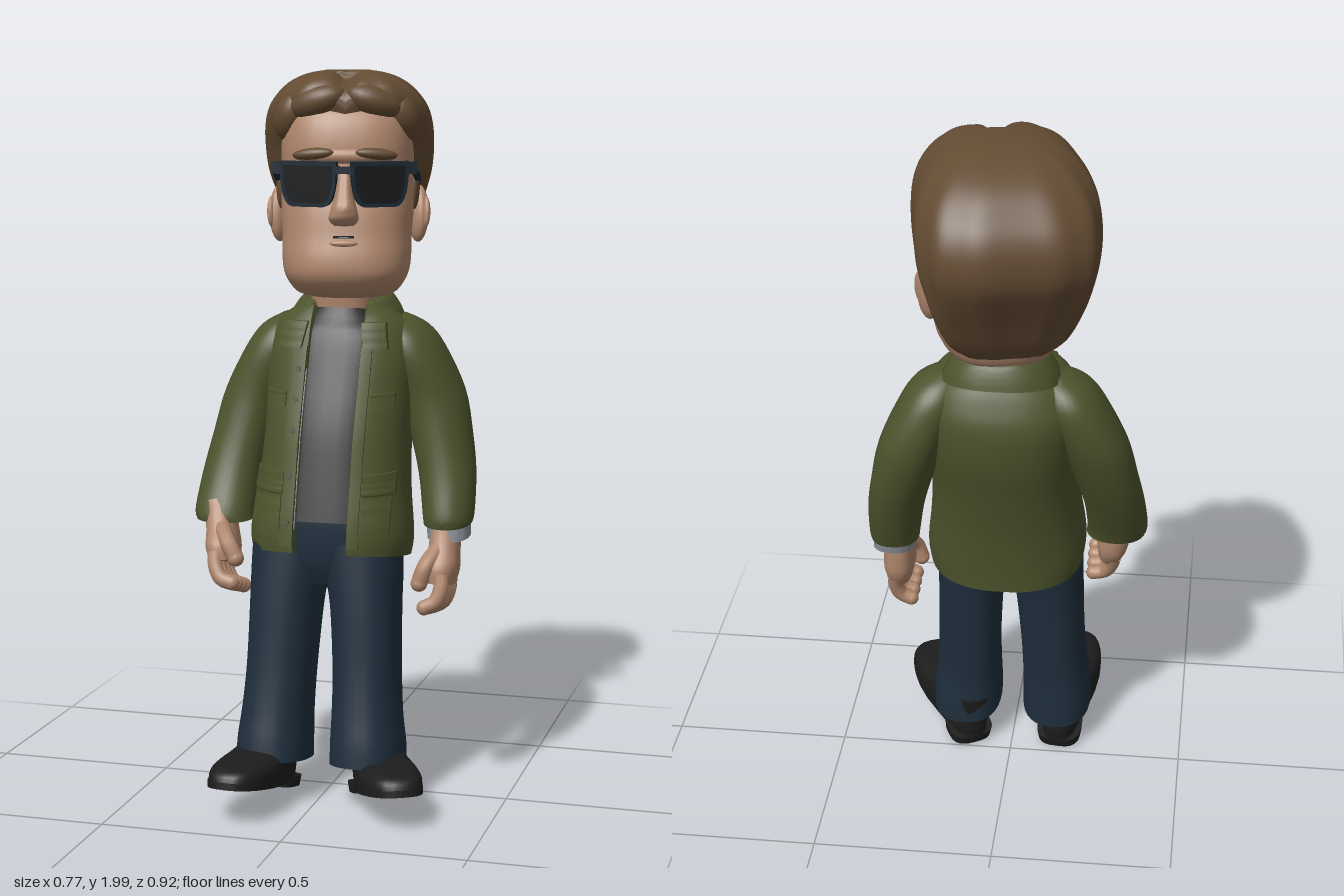
import * as THREE from 'three';
import { toCreasedNormals } from 'three/addons/utils/BufferGeometryUtils.js';

const colours = {
  skin: 0xb0876d, hair: 0x644c33, jacket: 0x4d542d, jeans: 0x1f2f3d, shirt: 0x232324,
  leather: 0x1d1d1e, frame: 0x1a2733, lens: 0x141618, cuff: 0x8a8f96, trim: 0x383f21,
};
const mats = {};

function add(parent, name, geo, mat, pos = [0, 0, 0], rot = [0, 0, 0]) {
  const m = new THREE.Mesh(geo, mats[mat]);
  m.name = name;
  m.position.set(...pos);
  m.rotation.set(...rot);
  parent.add(m);
  return m;
}

// Catmull-Rom through rows of [y, cx, cz, rx, rz]
function sample(rows, t) {
  const f = t * (rows.length - 1), i = Math.min(Math.floor(f), rows.length - 2), u = f - i;
  const at = k => rows[Math.max(0, Math.min(rows.length - 1, k))];
  return rows[0].map((_, k) => {
    const [a, b, c, d] = [at(i - 1)[k], at(i)[k], at(i + 1)[k], at(i + 2)[k]];
    return b + 0.5 * u * (c - a + u * (2 * a - 5 * b + 4 * c - d + u * (3 * (b - c) + d - a)));
  });
}

// Lofts superellipse sections upward; "open" = [xa, xb] leaves a front gap and makes a shell
function loft(rows, { n = 2.4, tilt = 0, seg = 36, steps = 4, open, thick = 0.016, tweak } = {}) {
  const R = (rows.length - 1) * steps, N = open ? seg * 2 : seg, pos = [], idx = [];
  const pw = v => Math.sign(v) * Math.abs(v) ** (2 / n);
  for (let j = 0; j <= R; j++) {
    const [y, cx, cz, rx, rz] = sample(rows, j / R);
    const edge = d => Math.asin(Math.min(1, Math.abs(d) / rx) ** (n / 2));
    const a0 = open ? edge(open[1] - cx) : 0, a1 = open ? Math.PI * 2 - edge(cx - open[0]) : 0;
    for (let i = 0; i < N; i++) {
      const inner = open && i >= seg, k = inner ? N - 1 - i : i, off = inner ? thick : 0;
      const a = open ? a0 + (a1 - a0) * k / (seg - 1) : Math.PI * 2 * i / N;
      const dz = (rz - off) * pw(Math.cos(a));
      const p = new THREE.Vector3(cx + (rx - off) * pw(Math.sin(a)), y + tilt * dz, cz + dz);
      if (tweak) tweak(p, a);
      pos.push(p.x, p.y, p.z);
    }
  }
  for (let j = 0; j < R; j++) for (let i = 0; i < N; i++) {
    const a = j * N + i, b = j * N + (i + 1) % N;
    idx.push(a, b, b + N, a, b + N, a + N);
  }
  for (let i = 0; i < N / 2 - 1; i++) {
    const q = [i, i + 1, N - 2 - i, N - 1 - i], t = R * N;
    idx.push(q[0], q[2], q[1], q[0], q[3], q[2]);
    idx.push(t + q[0], t + q[1], t + q[2], t + q[0], t + q[2], t + q[3]);
  }
  const g = new THREE.BufferGeometry();
  g.setAttribute('position', new THREE.Float32BufferAttribute(pos, 3));
  g.setIndex(idx);
  return toCreasedNormals(g, 1.0);
}

const ball = (rx, ry, rz) => new THREE.SphereGeometry(1, 24, 16).scale(rx, ry, rz);
const LEAN = 0.15;
const torso = [[0.69, .01, .035, .215, .19], [0.75, .01, .03, .222, .192], [0.87, .01, .005, .208, .188],
  [1.0, .01, -.028, .2, .187], [1.13, .01, -.07, .205, .182], [1.24, .01, -.097, .208, .167],
  [1.31, .01, -.102, .185, .14], [1.35, .01, -.103, .135, .118]];

// Front depth of the jacket at (x, y)
function chest(x, y) {
  let s = torso[0], ys = y - 0.025;
  for (let t = 0; t <= 1; t += 0.01) { const c = sample(torso, t); if (c[0] <= ys) s = c; }
  return s[2] + s[4] * Math.max(0, 1 - Math.min(1, Math.abs(x - s[1]) / s[3]) ** 2.4) ** (1 / 2.4);
}

// Slab that follows the chest; its lower edge is shifted sideways by skew
function patch(parent, name, mat, xa, xb, y0, y1, thick = 0.012, skew = 0, lift = 0) {
  const g = new THREE.BoxGeometry(xb - xa, y1 - y0, thick, 4, 10, 1), p = g.attributes.position;
  for (let i = 0; i < p.count; i++) {
    const y = p.getY(i) + (y0 + y1) / 2;
    const x = p.getX(i) + (xa + xb) / 2 + skew * (y1 - y) / (y1 - y0);
    p.setXYZ(i, x, y, chest(x, y) + p.getZ(i) + lift);
  }
  g.computeVertexNormals();
  add(parent, name, g, mat);
}

function buildHead() {
  const head = new THREE.Group();
  head.name = 'head';
  head.position.set(.004, 0, -.15);
  head.rotation.y = 0.22;
  const sec = ([y, f, b, w]) => [y, 0, (f + b) / 2, w, (f - b) / 2];
  add(head, 'face', loft([[1.388, .17, -.05, .1], [1.405, .235, -.08, .14], [1.45, .277, -.1, .168], [1.5, .28, -.12, .176],
    [1.56, .264, -.14, .177], [1.63, .248, -.17, .182], [1.72, .22, -.18, .182], [1.8, .22, -.18, .182],
    [1.88, .195, -.16, .172], [1.94, .13, -.1, .12]].map(sec), { n: 2.6 }), 'skin');
  add(head, 'nose', loft([[1.59, 0, .258, .026, .02], [1.607, 0, .264, .04, .044], [1.638, 0, .258, .034, .058],
    [1.68, 0, .24, .024, .05], [1.75, 0, .21, .02, .03]], { n: 2, seg: 20 }), 'skin');
  add(head, 'brow', ball(.14, .028, .04), 'skin', [0, 1.772, .19]);
  add(head, 'lowerLip', ball(.04, .01, .012), 'skin', [0, 1.543, .264]);
  add(head, 'mouth', new THREE.BoxGeometry(.055, .006, .008), 'lens', [0, 1.56, .265]);
  add(head, 'teeth', new THREE.BoxGeometry(.026, .003, .008), 'cuff', [0, 1.56, .267]);
  // Swept-back hair with grooves and a centre parting
  add(head, 'hair', loft([[1.455, -.08, -.14, .1], [1.5, -.07, -.175, .15], [1.58, -.065, -.22, .186], [1.65, -.03, -.262, .208],
    [1.72, .07, -.3, .228], [1.79, .115, -.307, .235], [1.85, .16, -.29, .232], [1.9, .185, -.253, .218],
    [1.94, .193, -.21, .19], [1.97, .175, -.155, .155], [1.99, .135, -.095, .11], [2.0, .09, -.03, .055]].map(sec), {
    n: 2.8, seg: 96, tweak(p, a) {
      const k = 1 + 0.012 * Math.sin(a * 11 + 1) + 0.008 * Math.sin(a * 5 + p.y * 8);
      p.x *= k;
      p.z = -.05 + (p.z + .05) * k;
      if (p.y > 1.88) p.y -= .03 * Math.exp(-((p.x / .028) ** 2)) * THREE.MathUtils.smoothstep(p.z, -.02, .13);
    },
  }), 'hair');
  for (const s of [1, -1]) {
    add(head, 'quiffLobe', ball(.085, .045, .055), 'hair', [s * .078, 1.914, .148], [0, s * .35, s * -.3]);
    add(head, 'templeLock', ball(.05, .075, .06), 'hair', [s * .145, 1.875, .1], [.4, s * .5, s * .3]);
    add(head, 'sideburn', ball(.016, .07, .04), 'hair', [s * .182, 1.69, .03], [-.15, 0, 0]);
    add(head, 'ear', ball(.027, .08, .046), 'skin', [s * .193, 1.605, -.035], [-.2, s * .3, 0]);
    add(head, 'earBowl', ball(.012, .045, .026), 'skin', [s * .213, 1.61, -.012], [-.2, s * .3, 0]);
    add(head, 'eyebrow', ball(.058, .016, .02), 'hair', [s * .085, 1.778, .212], [0, s * .25, s * -.08]);
  }
  // Sunglasses
  const glasses = new THREE.Group();
  glasses.name = 'sunglasses';
  head.add(glasses);
  const outline = (C, w, h) => {
    const s = new C();
    s.moveTo(-w, h);
    s.lineTo(w, h);
    s.quadraticCurveTo(w * 1.02, -h, w * .5, -h);
    s.lineTo(-w * .5, -h);
    s.quadraticCurveTo(-w * 1.02, -h, -w, h);
    return s;
  };
  const plate = (shape, depth) => new THREE.ExtrudeGeometry(shape, { depth, bevelEnabled: false });
  const rim = outline(THREE.Shape, .078, .06);
  rim.holes.push(outline(THREE.Path, .068, .05));
  for (const s of [1, -1]) {
    const at = [s * .092, 1.7, .235], turn = [.05, s * .22, 0];
    add(glasses, 'rim', plate(rim, .02), 'frame', at, turn);
    add(glasses, 'lens', plate(outline(THREE.Shape, .07, .052), .014), 'lens', at, turn);
    add(glasses, 'hinge', new THREE.BoxGeometry(.026, .032, .035), 'frame', [s * .178, 1.742, .218], [0, s * .3, 0]);
    add(glasses, 'temple', new THREE.BoxGeometry(.012, .022, .26), 'frame', [s * .19, 1.718, .1], [-.17, s * -.03, 0]);
  }
  add(glasses, 'bridge', new THREE.BoxGeometry(.05, .02, .022), 'frame', [0, 1.737, .262]);
  return head;
}

function buildHand() {
  const hand = new THREE.Group();
  hand.name = 'hand';
  add(hand, 'palm', loft([[-.125, 0, .015, .034, .066], [-.08, 0, .01, .044, .076], [-.03, 0, 0, .042, .062],
    [.05, 0, 0, .04, .047]], { seg: 24 }), 'skin');
  const finger = (name, r, ...pts) => {
    const v = pts.map(p => new THREE.Vector3(...p));
    add(hand, name, new THREE.TubeGeometry(new THREE.CatmullRomCurve3(v), 10, r, 10), 'skin');
    add(hand, name + 'Tip', ball(r, r, r), 'skin', pts[pts.length - 1]);
  };
  for (let k = 0; k < 4; k++) {
    const z = -.039 + k * .036;
    finger('finger', .021, [.01, -.1, z], [.01, -.14, z + .005], [-.004, -.175, z + .008], [-.032, -.19, z + .008]);
  }
  finger('thumb', .023, [-.01, -.03, .04], [-.035, -.08, .078], [-.05, -.125, .075]);
  return hand;
}

function buildShoe() {
  const shoe = new THREE.Group();
  shoe.name = 'shoe';
  const tweak = p => { p.x *= 0.78 + 0.28 * THREE.MathUtils.smoothstep(p.z, .08, .28); };
  add(shoe, 'upper', loft([[.03, 0, .22, .08, .218], [.058, 0, .215, .082, .213], [.078, 0, .195, .079, .19],
    [.1, 0, .15, .076, .14], [.125, 0, .12, .074, .108], [.17, 0, .1, .07, .085]], { tweak, n: 2.7 }), 'leather');
  add(shoe, 'sole', loft([[.018, 0, .222, .08, .221], [.036, 0, .222, .081, .222]], { tweak, n: 2.7 }), 'leather');
  add(shoe, 'heel', loft([[0, 0, .07, .08, .062], [.03, 0, .07, .084, .066]], { tweak, n: 3 }), 'leather');
  return shoe;
}

export function createModel() {
  for (const [name, color] of Object.entries(colours)) {
    mats[name] = new THREE.MeshStandardMaterial({ color });
    mats[name].name = name;
  }
  const model = new THREE.Group();
  model.name = 'figure';
  model.add(buildHead());
  add(model, 'neck', loft([[1.26, .01, -.1, .08, .09], [1.34, .01, -.105, .088, .1], [1.44, .01, -.1, .1, .105]]), 'skin');

  // Shirt and jacket
  add(model, 'shirt', loft([...torso.slice(1, 6).map(([y, x, z, rx, rz]) => [y + .025, x, z, rx - .025, rz - .021]),
    [1.31, .01, -.1, .13, .122], [1.345, .01, -.1, .096, .1]], { tilt: LEAN }), 'shirt');
  const jacket = new THREE.Group();
  jacket.name = 'jacket';
  model.add(jacket);
  add(jacket, 'jacketBody', loft(torso, { tilt: LEAN, seg: 56, open: [-.05, .1] }), 'jacket');
  // Turned-down collar, higher at the back, running into the lapels
  add(jacket, 'collar', loft([[1.315, .01, -.107, .162, .148], [1.345, .01, -.107, .15, .139], [1.378, .01, -.107, .128, .124],
    [1.388, .01, -.105, .115, .114]], { tilt: -.17, open: [-.065, .105], thick: .022, seg: 40 }), 'jacket');
  patch(jacket, 'rightLapel', 'jacket', -.125, -.055, 1.255, 1.325, .024, -.012, .002);
  patch(jacket, 'leftLapel', 'jacket', .095, .155, 1.255, 1.325, .024, .012, .002);
  patch(jacket, 'rightPlacket', 'jacket', -.088, -.05, .735, 1.26, .01);
  patch(jacket, 'leftPlacket', 'jacket', .1, .128, .735, 1.26, .01);
  patch(jacket, 'liningEdge', 'cuff', -.052, -.047, .78, 1.2, .01, 0, -.009);
  for (const [xa, xb] of [[-.185, -.09], [.135, .2]]) {
    patch(jacket, 'pocket', 'jacket', xa, xb, .775, .89, .01);
    patch(jacket, 'pocketFlap', 'jacket', xa - .005, xb + .005, .875, .93, .018);
    patch(jacket, 'pocketSeam', 'trim', xa, xb, .871, .875, .014);
  }
  patch(jacket, 'chestPocketFlap', 'jacket', .135, .19, 1.1, 1.14, .012);
  patch(jacket, 'chestPocketFlap', 'jacket', -.165, -.1, 1.1, 1.14, .012);
  for (const y of [.8, .92, 1.04, 1.12, 1.2]) {
    add(jacket, 'button', new THREE.CylinderGeometry(.008, .008, .008, 12), 'trim', [-.069, y, chest(-.069, y) + .005], [Math.PI / 2 - .2, 0, 0]);
  }

  // Arms: the right one reaches further forward
  const sleeves = {
    left: [[.77, .316, -.058, .066, .084], [.8, .316, -.063, .07, .092], [.9, .305, -.095, .077, .098], [1.0, .283, -.12, .083, .107],
      [1.12, .25, -.135, .09, .115], [1.24, .2, -.12, .086, .115], [1.3, .175, -.11, .068, .09], [1.332, .152, -.106, .035, .05]],
    right: [[.77, -.296, .035, .082, .085], [.8, -.3, .026, .084, .09], [.9, -.292, -.022, .083, .095], [1.0, -.272, -.062, .085, .103],
      [1.12, -.24, -.095, .09, .112], [1.24, -.185, -.105, .087, .115], [1.3, -.16, -.106, .068, .09], [1.332, -.137, -.105, .035, .05]],
  };
  for (const side in sleeves) add(jacket, side + 'Sleeve', loft(sleeves[side], { tilt: side === 'left' ? -.1 : -.05, n: 2.2 }), 'jacket');
  add(model, 'shirtCuff', loft([[.735, .322, -.045, .058, .07], [.8, .318, -.055, .06, .072]], { tilt: -.1 }), 'cuff');
  const leftHand = buildHand(), rightHand = buildHand();
  leftHand.position.set(.315, .73, -.025);
  leftHand.rotation.x = -.18;
  rightHand.position.set(-.3, .77, .07);
  rightHand.rotation.set(-.28, 0, .2);
  rightHand.scale.x = -1;
  model.add(leftHand, rightHand);

  // Jeans
  add(model, 'hips', loft([[.6, .005, .08, .04, .07], [.66, .005, .068, .15, .11], [.72, .008, .055, .196, .132],
    [.8, .01, .035, .188, .152], [.86, .01, .02, .16, .14]], { tilt: LEAN }), 'jeans');
  const legs = {
    left: [[.12, .138, .125, .1, .136], [.18, .137, .122, .099, .132], [.26, .133, .115, .093, .124], [.38, .128, .1, .09, .121],
      [.55, .12, .083, .094, .122], [.65, .11, .07, .104, .125], [.72, .105, .06, .106, .128]],
    right: [[.12, -.128, .13, .1, .136], [.18, -.127, .124, .099, .132], [.26, -.122, .116, .094, .124], [.38, -.115, .101, .092, .121],
      [.55, -.106, .083, .097, .122], [.65, -.098, .07, .104, .125], [.72, -.094, .06, .106, .128]],
  };
  for (const side in legs) add(model, side + 'Leg', loft(legs[side], { tilt: LEAN }), 'jeans');

  // Shoes, toes raised and turned outward
  [[.105, .012, .5, .92], [-.135, .018, -.09, 1.02]].forEach(([x, z, yaw, len]) => {
    const shoe = buildShoe();
    shoe.position.set(x, .006, z);
    shoe.rotation.set(-.21, yaw, 0, 'YXZ');
    shoe.scale.z = len;
    model.add(shoe);
  });
  return model;
}
